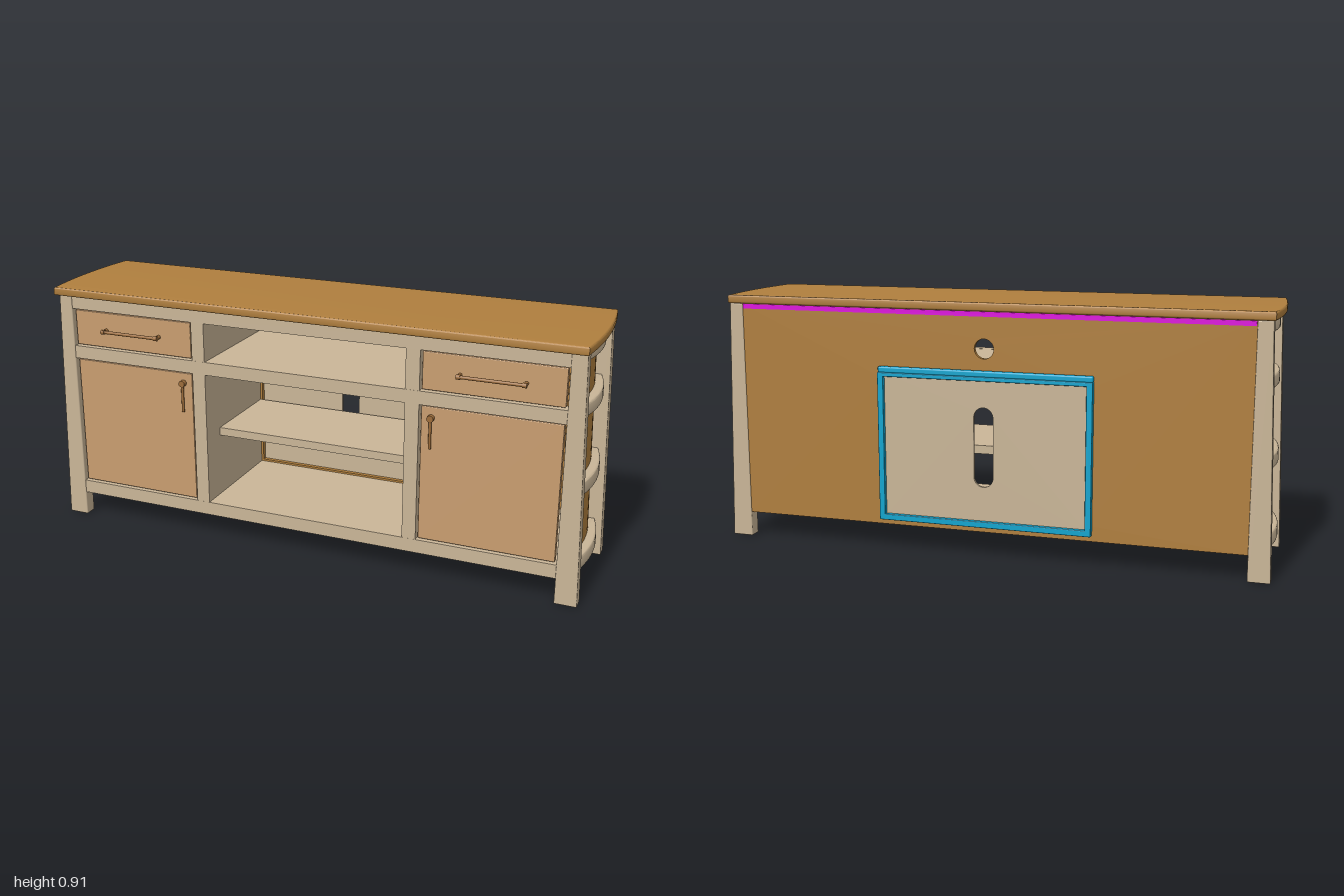
import * as THREE from 'three';
import { toCreasedNormals } from 'three/addons/utils/BufferGeometryUtils.js';
import { RoundedBoxGeometry } from 'three/addons/geometries/RoundedBoxGeometry.js';

const material = (name, color) => {
  const m = new THREE.MeshStandardMaterial({ color });
  m.name = name;
  return m;
};

const SLOPE = 0.03; // how far the sides lean in per unit of height

// Lean a right-hand part inwards as it rises
function lean(geometry) {
  const p = geometry.attributes.position;
  for (let i = 0; i < p.count; i++) p.setX(i, p.getX(i) - SLOPE * p.getY(i));
  return geometry;
}

// Upright extrusion of a plan outline (x, -z) between two heights
function upright(shape, y0, y1, bevel = 0) {
  const g = new THREE.ExtrudeGeometry(shape, {
    depth: y1 - y0 - 2 * bevel, curveSegments: 16,
    bevelEnabled: bevel > 0, bevelSize: bevel, bevelThickness: bevel, bevelOffset: -bevel, bevelSegments: 3,
  });
  g.rotateX(-Math.PI / 2).translate(0, y0 + bevel, 0);
  return g;
}

// Plan outline with a bowed outer edge
function bowedPlan(inner, end, mid, halfZ) {
  const s = new THREE.Shape();
  s.moveTo(inner, -halfZ);
  s.lineTo(end, -halfZ);
  s.quadraticCurveTo(2 * mid - end, 0, end, halfZ);
  s.lineTo(inner, halfZ);
  s.closePath();
  return s;
}

function rectShape(x0, y0, x1, y1) {
  const s = new THREE.Shape();
  s.moveTo(x0, y0);
  s.lineTo(x1, y0);
  s.lineTo(x1, y1);
  s.lineTo(x0, y1);
  s.closePath();
  return s;
}

export function createModel() {
  const model = new THREE.Group();
  model.name = 'mediaCabinet';
  const brown = material('warm brown wood', 0xb07f3e);
  const beige = material('beige paint', 0xcab698);
  const tan = material('light tan wood', 0xc99e70);
  const handle = material('handle bronze', 0x9c6c3a);
  const cyan = material('cyan trim', 0x0ea5cf);
  const magenta = material('magenta strip', 0xdd00dd);
  const blue = material('blue brace', 0x0000f0);

  const add = (name, geometry, mat, parent = model) => {
    const mesh = new THREE.Mesh(geometry, mat);
    mesh.name = name;
    parent.add(mesh);
    return mesh;
  };
  const box = (name, mat, x0, x1, y0, y1, z0, z1, round = 0) => {
    const size = [x1 - x0, y1 - y0, z1 - z0];
    const g = round ? new RoundedBoxGeometry(...size, 2, round) : new THREE.BoxGeometry(...size);
    g.translate((x0 + x1) / 2, (y0 + y1) / 2, (z0 + z1) / 2);
    return add(name, g, mat);
  };
  const rod = (name, mat, r, length, axis, x, y, z, parent = model) => {
    const g = new THREE.CylinderGeometry(r, r, length, 16);
    if (axis === 'x') g.rotateZ(Math.PI / 2);
    if (axis === 'z') g.rotateX(Math.PI / 2);
    g.translate(x, y, z);
    return add(name, g, mat, parent);
  };

  // Table top with bowed ends and softened edges
  const top = new THREE.Shape();
  top.moveTo(-0.98, -0.257);
  top.lineTo(0.98, -0.257);
  top.quadraticCurveTo(1.016, -0.01, 0.98, 0.236);
  top.lineTo(-0.98, 0.236);
  top.quadraticCurveTo(-1.016, -0.01, -0.98, -0.257);
  add('top', toCreasedNormals(upright(top, 0.88, 0.91, 0.006), 0.6), brown);

  // Side assemblies: legs, bowed panel and four bowed rails
  const levels = [[0.093, 0.143], [0.365, 0.415], [0.64, 0.688], [0.83, 0.88]];
  for (const side of [1, -1]) {
    const group = new THREE.Group();
    group.name = side > 0 ? 'leftSide' : 'rightSide';
    if (side < 0) group.rotation.y = Math.PI;
    model.add(group);
    for (const z of [0.211, -0.211]) {
      const leg = new RoundedBoxGeometry(0.078, 0.88, 0.048, 2, 0.004);
      leg.translate(0.961, 0.44, z);
      // Only the outer face leans; the inner face stays upright
      const p = leg.attributes.position;
      for (let i = 0; i < p.count; i++)
        if (p.getX(i) > 0.961) p.setX(i, p.getX(i) - SLOPE * p.getY(i));
      add('leg', leg, beige, group);
    }
    const panel = lean(upright(bowedPlan(0.93, 0.945, 0.973, 0.19), 0.1, 0.88));
    add('sidePanel', toCreasedNormals(panel, 0.5), brown, group);
    for (const [y0, y1] of levels) {
      const rail = lean(upright(bowedPlan(0.93, 0.972, 1.004, 0.19), y0, y1, 0.007));
      add('sideRail', toCreasedNormals(rail, 0.6), beige, group);
    }
  }

  // Front frame
  for (const i of [0, 2, 3])
    box('frontRail', beige, -0.925, 0.925, levels[i][0], levels[i][1], 0.19, 0.232);
  for (const s of [-1, 1]) {
    const c = s * 0.403;
    box('frontStile', beige, c - 0.025, c + 0.025, 0.14, 0.835, 0.19, 0.2315);
    box('divider', beige, c - 0.0245, c + 0.0245, 0.14, 0.88, -0.215, 0.2);
  }

  // Inner shelves and floor
  box('cabinetFloor', beige, -0.925, 0.925, 0.125, 0.1425, -0.216, 0.2);
  box('cubbyFloor', beige, -0.385, 0.385, 0.64, 0.6875, -0.216, 0.2);
  box('shelf', beige, -0.385, 0.385, 0.375, 0.405, -0.216, 0.13);

  // Doors, drawers and their pulls
  for (const s of [-1, 1]) {
    const x = s * 0.674;
    box('door', tan, x - 0.24, x + 0.24, 0.148, 0.635, 0.2, 0.225, 0.003);
    box('drawerFront', tan, x - 0.24, x + 0.24, 0.693, 0.825, 0.2, 0.225, 0.003);
    rod('drawerPullBar', handle, 0.006, 0.23, 'x', x, 0.759, 0.249);
    for (const e of [-1, 1]) {
      rod('drawerPullPost', handle, 0.007, 0.03, 'z', x + e * 0.11, 0.759, 0.239);
      rod('drawerPullCollar', handle, 0.0085, 0.014, 'x', x + e * 0.11, 0.759, 0.249);
    }
    rod('doorPullKnob', handle, 0.012, 0.018, 'z', s * 0.47, 0.597, 0.233);
    rod('doorPullDrop', handle, 0.005, 0.105, 'y', s * 0.47, 0.542, 0.235);
  }

  // Back panel with a cable hole and a central opening
  const back = rectShape(-0.925, 0.093, 0.925, 0.88);
  const hole = new THREE.Path();
  hole.absarc(0, 0.75, 0.035, 0, Math.PI * 2, true);
  back.holes.push(hole, rectShape(-0.37, 0.15, 0.37, 0.628));
  const backGeometry = new THREE.ExtrudeGeometry(back, { depth: 0.016, bevelEnabled: false, curveSegments: 24 });
  add('backPanel', toCreasedNormals(backGeometry.translate(0, 0, -0.232), 0.5), brown);

  // Removable hatch with a tall cable slot
  const hatch = rectShape(-0.38, 0.12, 0.38, 0.655);
  const slot = new THREE.Path();
  slot.absarc(0, 0.51, 0.035, 0, Math.PI, false);
  slot.absarc(0, 0.295, 0.035, Math.PI, Math.PI * 2, false);
  slot.closePath();
  hatch.holes.push(slot);
  const hatchGeometry = new THREE.ExtrudeGeometry(hatch, { depth: 0.01, bevelEnabled: false, curveSegments: 16 });
  add('backHatch', toCreasedNormals(hatchGeometry.translate(0, 0, -0.242), 0.5), beige);

  // Trim around the hatch
  for (const s of [-1, 1])
    box('hatchSideTrim', cyan, s * 0.379 - 0.011, s * 0.379 + 0.011, 0.115, 0.655, -0.257, -0.232, 0.003);
  box('hatchBottomTrim', cyan, -0.39, 0.39, 0.115, 0.137, -0.257, -0.232, 0.003);
  box('hatchUpperTrim', cyan, -0.39, 0.39, 0.64, 0.655, -0.257, -0.232, 0.003);
  box('hatchTopTrim', cyan, -0.39, 0.39, 0.653, 0.675, -0.252, -0.232, 0.006);

  // Strip along the back under the top
  box('backStrip', magenta, -0.92, 0.92, 0.862, 0.879, -0.2355, -0.23);

  // Braces and end cleats under the floor
  box('longBrace', blue, -0.84, 0.84, 0.1, 0.126, 0.155, 0.18);
  for (const x of [-0.44, 0, 0.44])
    box('crossBrace', blue, x - 0.013, x + 0.013, 0.1, 0.126, -0.215, 0.156);
  for (const x of [-0.86, 0.86])
    box('endCleat', tan, x - 0.012, x + 0.012, 0.1, 0.126, -0.215, 0.18);

  return model;
}
